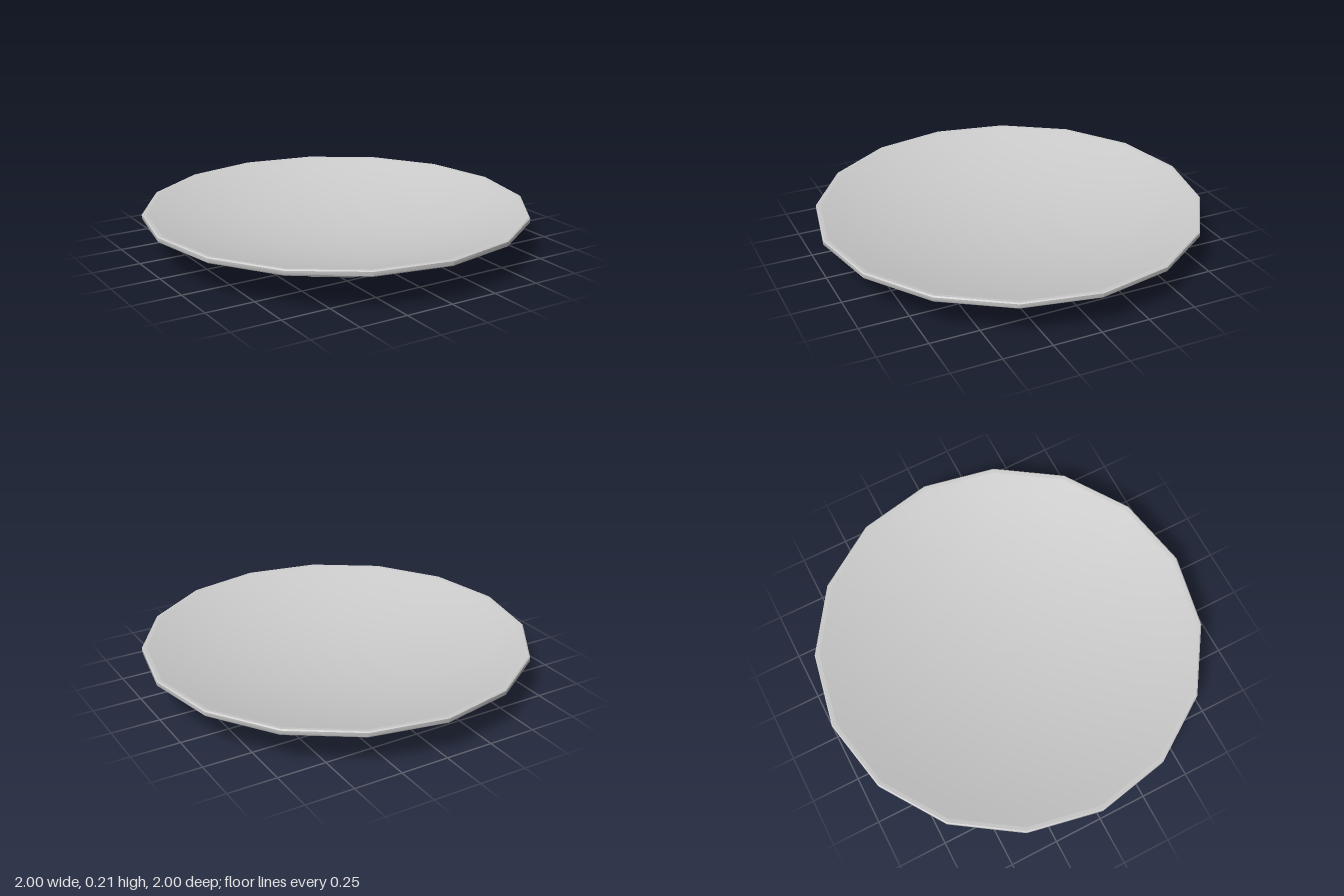
import * as THREE from 'three';
import { toCreasedNormals } from 'three/addons/utils/BufferGeometryUtils.js';

const SIDES = 16;

// Turned part from a profile of [radius, height] pairs, listed bottom to top
function turned(name, profile, crease) {
  const points = profile.map(([r, y]) => new THREE.Vector2(r, y));
  let geometry = new THREE.LatheGeometry(points, SIDES);
  if (crease) geometry = toCreasedNormals(geometry, crease);
  const mesh = new THREE.Mesh(geometry, new THREE.MeshStandardMaterial({ color: 0xcccccc }));
  mesh.name = name;
  return mesh;
}

export function createModel() {
  const plate = new THREE.Group();
  plate.name = 'plate';

  // Low foot with a closed flat base
  plate.add(turned('foot', [[0, 0], [0.515, 0], [0.523, 0.012], [0.523, 0.04], [0.515, 0.052]], 0.7));

  // Sloping underside
  plate.add(turned('underside', [[0.515, 0.052], [0.995, 0.183]]));

  // Thin upright rim with a softened top edge
  plate.add(turned('rim', [[0.995, 0.183], [1, 0.188], [1, 0.208], [0.994, 0.213], [0.975, 0.211]], 0.8));

  // Shallow dished top, curving gently from the rim down to the centre
  const dish = [];
  const steps = 10;
  for (let i = 0; i <= steps; i++) {
    const t = 1 - i / steps;
    dish.push([0.975 * t, 0.07 + 0.141 * t * t]);
  }
  plate.add(turned('dish', dish));

  return plate;
}
